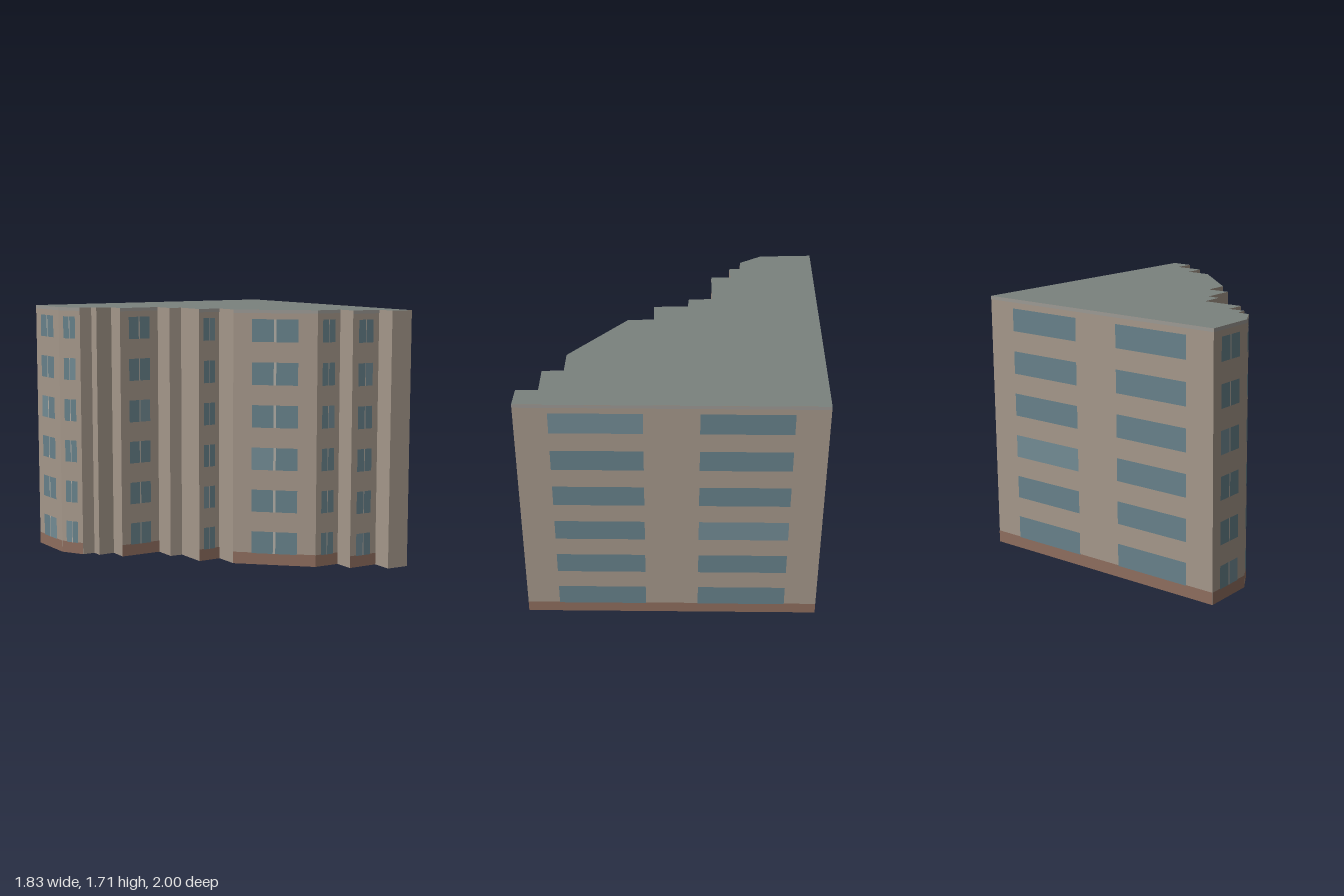
import * as THREE from 'three';

const HEIGHT = 1.71;
const BASE = 0.08;
const TRIM = 0.022;
const FLOORS = 6;

// Footprint corners [x, z] and the style of the wall that starts at each corner
const OUTLINE = [
  [-0.915, -1.0, 'wide'],
  [0.912, -0.925, 'wide'],
  [0.82, 1.0, 'plain'],
  [0.668, 0.985, 'plain'],
  [0.674, 0.845, 'paired'],
  [0.467, 0.832, 'plain'],
  [0.47, 0.695, 'paired'],
  [0.294, 0.682, 'paired'],
  [-0.106, 0.29, 'plain'],
  [-0.106, 0.12, 'paired'],
  [-0.264, 0.115, 'plain'],
  [-0.264, -0.11, 'plain'],
  [-0.35, -0.12, 'plain'],
  [-0.35, -0.275, 'paired'],
  [-0.636, -0.29, 'plain'],
  [-0.632, -0.42, 'plain'],
  [-0.746, -0.42, 'plain'],
  [-0.746, -0.493, 'plain'],
  [-0.83, -0.5, 'paired'],
  [-0.915, -0.65, 'paired'],
];

// Window spans as fractions of the wall length
const WINDOWS = {
  plain: [],
  wide: [[0.11, 0.41], [0.59, 0.89]],
  paired: [[0.225, 0.485], [0.515, 0.775]],
};

const mat = (color, side = THREE.FrontSide) =>
  new THREE.MeshStandardMaterial({ color, side });

export function createModel() {
  const group = new THREE.Group();
  group.name = 'apartmentBlock';
  const wallMat = mat(0xa4978a, THREE.DoubleSide);
  const roofMat = mat(0x7a827e, THREE.DoubleSide);
  const baseMat = mat(0x8e6d5e);
  const trimMat = mat(0x9c9994);
  const glassMat = mat(0x67818a);
  const paleGlassMat = mat(0x728b94);
  const mullionMat = mat(0xb0aca4);

  // Upright panel on a wall: u along the wall (0..1), y in units, pushed out by lift
  function panel(parent, name, a, b, u0, u1, y0, y1, lift, material) {
    const dx = b[0] - a[0], dz = b[1] - a[1];
    const len = Math.hypot(dx, dz);
    const nx = dz / len, nz = -dx / len;
    const u = (u0 + u1) / 2;
    const mesh = new THREE.Mesh(new THREE.PlaneGeometry(len * (u1 - u0), y1 - y0), material);
    mesh.name = name;
    mesh.position.set(a[0] + dx * u + nx * lift, (y0 + y1) / 2, a[1] + dz * u + nz * lift);
    mesh.rotation.y = Math.atan2(nx, nz);
    parent.add(mesh);
  }

  // Walls with plinth, roof trim and rows of windows
  OUTLINE.forEach((a, i) => {
    const b = OUTLINE[(i + 1) % OUTLINE.length];
    const style = a[2];
    const facade = new THREE.Group();
    facade.name = 'facade' + (i + 1);
    group.add(facade);

    panel(facade, 'wall', a, b, 0, 1, 0, HEIGHT, 0, wallMat);
    if (style === 'plain') return;
    panel(facade, 'plinth', a, b, 0, 1, 0, BASE, 0.002, baseMat);
    panel(facade, 'roofTrim', a, b, 0, 1, HEIGHT - TRIM, HEIGHT, 0.002, trimMat);

    for (let f = 0; f < FLOORS; f++) {
      const y0 = 0.076 + f * 0.2845;
      const y1 = y0 + 0.15;
      WINDOWS[style].forEach(([u0, u1], k) => {
        const pale = (f * 2 + k + i) % 7 === 5;
        panel(facade, 'window', a, b, u0, u1, y0, y1, 0.003, pale ? paleGlassMat : glassMat);
      });
      if (style === 'paired') {
        panel(facade, 'mullion', a, b, 0.485, 0.515, y0, y1, 0.003, mullionMat);
      }
    }
  });

  // Flat roof; the underside of the building stays open
  const shape = new THREE.Shape(OUTLINE.map(([x, z]) => new THREE.Vector2(x, -z)));
  const roof = new THREE.Mesh(new THREE.ShapeGeometry(shape).rotateX(-Math.PI / 2), roofMat);
  roof.name = 'roof';
  roof.position.y = HEIGHT;
  group.add(roof);

  return group;
}
